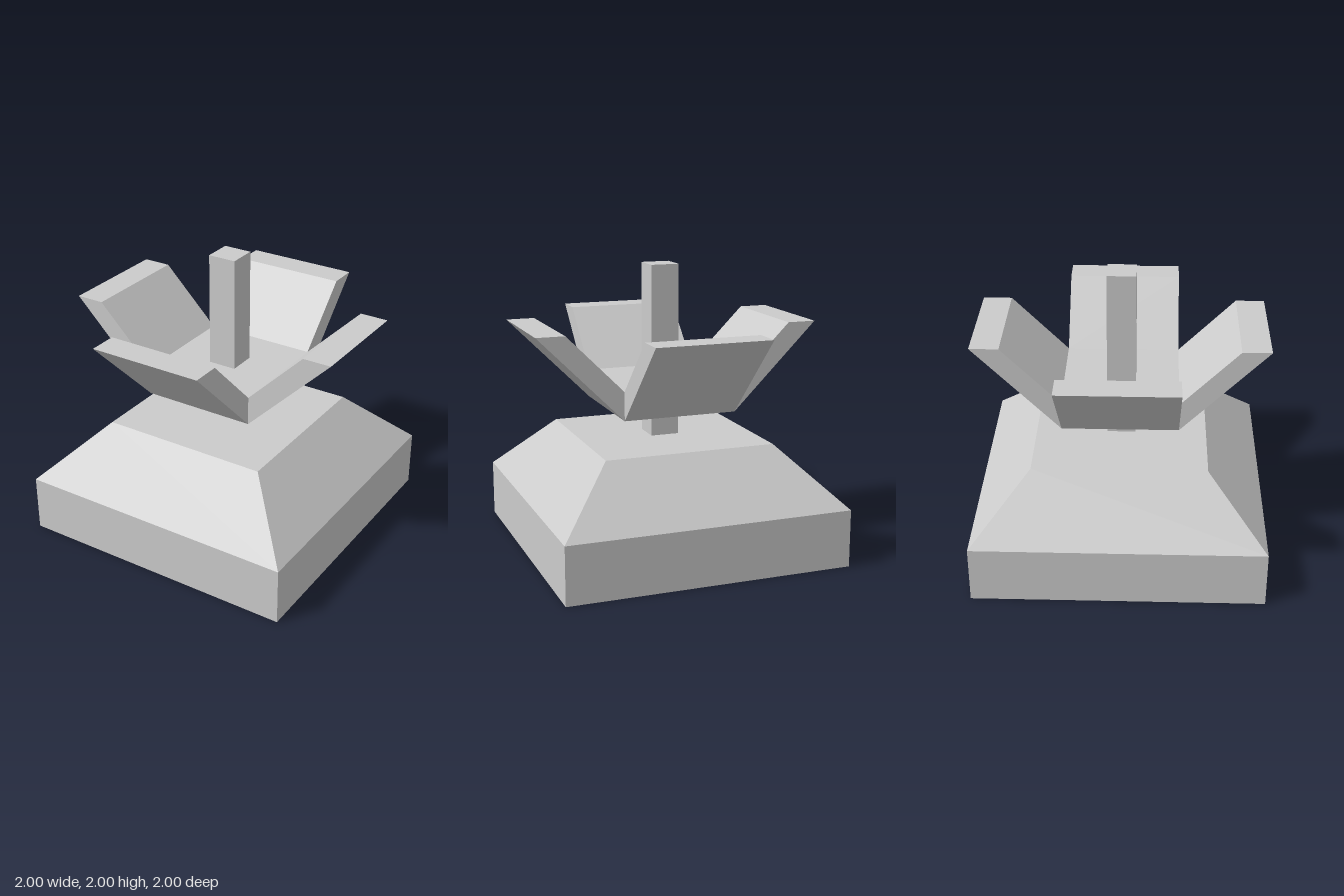
import * as THREE from 'three';

export function createModel() {
  const group = new THREE.Group();
  const material = new THREE.MeshStandardMaterial({ color: 0xcccccc, flatShading: true });

  const add = (name, geometry, y = 0) => {
    const mesh = new THREE.Mesh(geometry, material);
    mesh.name = name;
    mesh.position.y = y;
    group.add(mesh);
    return mesh;
  };

  // Square base with a sloped upper half: a four-sided lathe
  const profile = [[0, 0], [1, 0], [1, 0.4], [0.6, 0.8], [0, 0.8]]
    .map(([r, y]) => new THREE.Vector2(r * Math.SQRT2, y));
  add('base', new THREE.LatheGeometry(profile, 4, Math.PI / 4));

  // Central stem, rising through the flower
  add('stem', new THREE.BoxGeometry(0.2, 1.2, 0.2), 1.4);

  // Square plate that carries the petals
  add('flowerPlate', new THREE.BoxGeometry(0.8, 0.2, 0.8), 1.1);

  // Four slanted petals, one per side of the plate
  const section = new THREE.Shape([[0.4, 1], [1, 1.6], [0.8, 1.6], [0.4, 1.2]]
    .map(([x, y]) => new THREE.Vector2(x, y)));
  const petal = new THREE.ExtrudeGeometry(section, { depth: 0.8, bevelEnabled: false });
  petal.translate(0, 0, -0.4);
  ['leftPetal', 'backPetal', 'rightPetal', 'frontPetal'].forEach((name, i) => {
    add(name, petal).rotation.y = i * Math.PI / 2;
  });

  return group;
}
